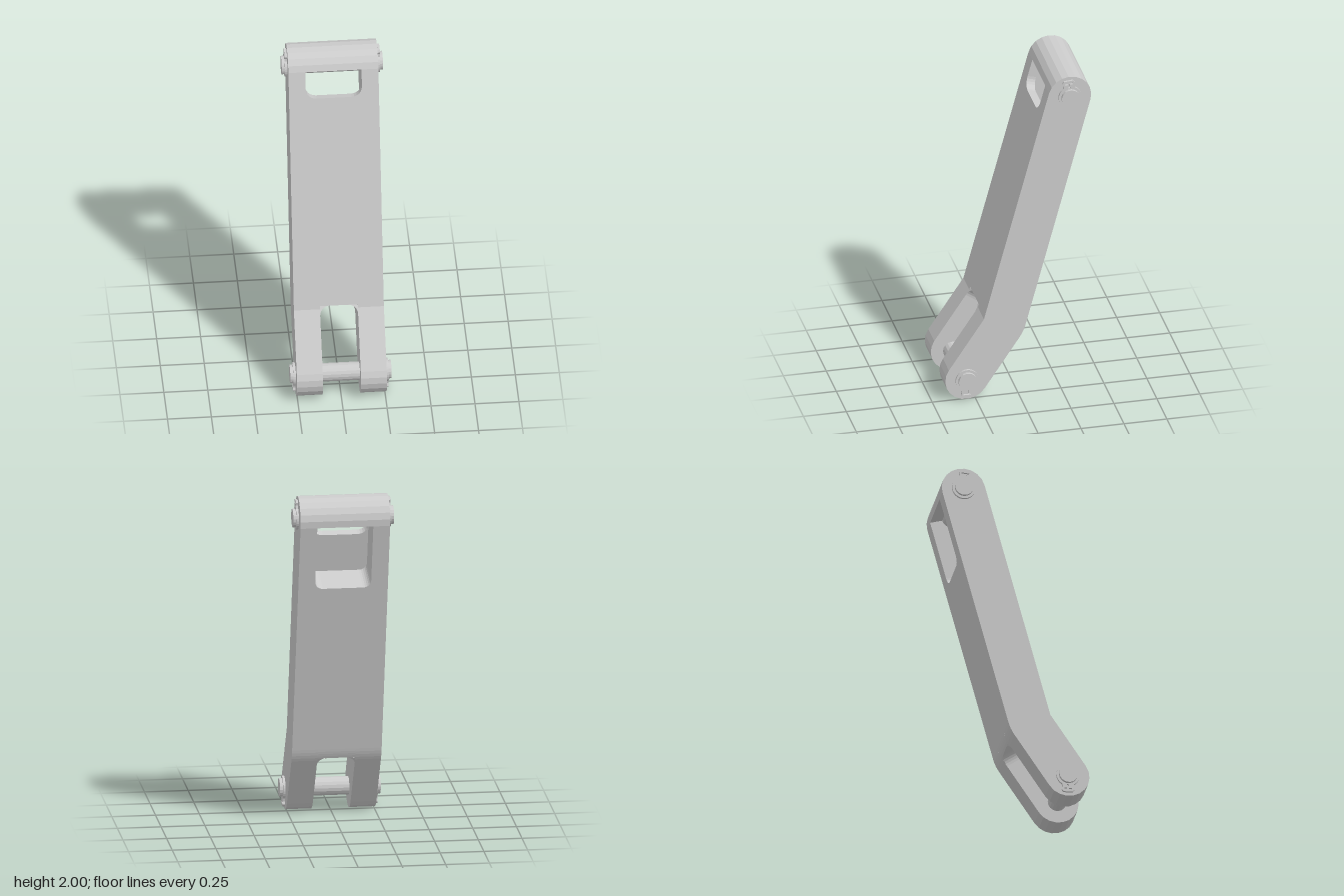
import * as THREE from 'three';

const mat = new THREE.MeshStandardMaterial({ color: 0xcccccc, flatShading: true });
const R = 0.125;                 // radius of both rounded ends, half the link thickness
const W = 0.256;                 // half width of the link
const WIN = 0.16, SLOT = 0.108;  // half widths of the upper window and lower slot
const TOP = { z: -0.3, y: 1.875, a: 0.263 };   // upper pin and lean of the long section
const LOW = { z: 0.3, y: 0.125, a: 0.588 };    // lower pin and lean of the short section

// Point in the side plane (z, y): u along a section, n towards its front
const at = (f, u, n) => new THREE.Vector2(
  f.z - u * Math.sin(f.a) + n * Math.cos(f.a),
  f.y + u * Math.cos(f.a) + n * Math.sin(f.a));

const BEND = at(TOP, -1.458, R);

function arc(cx, cy, r, a0, a1, n) {
  return Array.from({ length: n + 1 }, (_, i) => {
    const a = a0 + (a1 - a0) * i / n;
    return new THREE.Vector2(cx + r * Math.cos(a), cy + r * Math.sin(a));
  });
}

function add(parent, name, geometry) {
  const mesh = new THREE.Mesh(geometry, mat);
  mesh.name = name;
  parent.add(mesh);
  return mesh;
}

// Side profile extruded across the width from x0 to x1
function slab(parent, name, points, x0, x1) {
  const g = new THREE.ExtrudeGeometry(new THREE.Shape(points), { depth: x1 - x0, bevelEnabled: false });
  g.rotateY(-Math.PI / 2);
  g.translate(x1, 0, 0);
  add(parent, name, g);
}

// Pair of corner fillets at x = +-w; dir is +1 above a floor, -1 below a ceiling
function fillets(parent, name, f, w, u, dir, r, n0, n1) {
  const frame = new THREE.Group();
  frame.name = name;
  frame.position.set(0, f.y, f.z);
  frame.rotation.x = -f.a;
  for (const s of [-1, 1]) {
    const curve = arc(r, r, r, Math.PI, Math.PI * 1.5, 6);
    const pts = [new THREE.Vector2(0, 0), ...curve]
      .map(p => new THREE.Vector2(s * (w - p.x), u + dir * p.y));
    const g = new THREE.ExtrudeGeometry(new THREE.Shape(pts), { depth: n1 - n0, bevelEnabled: false });
    g.translate(0, 0, n0);
    add(frame, name + 'Corner', g);
  }
  parent.add(frame);
}

function makeLink() {
  const link = new THREE.Group();
  link.name = 'link';
  const PI = Math.PI;
  const eye = arc(TOP.z, TOP.y, R, TOP.a, TOP.a + PI, 10);
  const foot = arc(LOW.z, LOW.y, R, LOW.a + PI, LOW.a + 2 * PI, 10);
  const heel = end => arc(BEND.x, BEND.y, 2 * R, TOP.a + PI, end, 4);

  // Front edge of the window, then the deeper pocket open to the back
  const pocket = [at(TOP, -0.165, R), at(TOP, -0.165, 0.075), at(TOP, -0.4, 0.075), at(TOP, -0.4, -R)];
  const full = [BEND, ...eye, ...heel(LOW.a + PI), ...foot];
  const hollow = [BEND, ...pocket, ...heel(LOW.a + PI), ...foot];
  const centre = [at(TOP, -1.439, R), ...pocket, ...heel(LOW.a + PI - 0.072)];

  // Solid cheeks, fork inner layers, centre web and the half-round top bridge
  slab(link, 'leftCheek', full, WIN, W);
  slab(link, 'rightCheek', full, -W, -WIN);
  slab(link, 'leftForkLayer', hollow, SLOT, WIN);
  slab(link, 'rightForkLayer', hollow, -WIN, -SLOT);
  slab(link, 'centreWeb', centre, -SLOT, SLOT);
  slab(link, 'topBridge', eye, -WIN, WIN);

  // Rounded corners of the openings
  fillets(link, 'windowFillets', TOP, WIN, -0.165, 1, 0.06, 0.075, R);
  fillets(link, 'pocketFillets', TOP, WIN, -0.4, 1, 0.045, -R, 0.075);
  fillets(link, 'slotFillets', LOW, SLOT, 0.385, -1, 0.055, -R, R);
  return link;
}

// Retaining ring with two lugs, lying in the xy plane with the lugs upwards
function clipGeometry() {
  const half = Math.asin(0.034 / 0.067);
  const ring = arc(0, 0, 0.067, Math.PI / 2 + half, Math.PI * 2.5 - half, 22);
  const lugs = [[0.03, 0.075], [0.036, 0.092], [0.026, 0.105],
    [-0.026, 0.105], [-0.036, 0.092], [-0.03, 0.075]];
  const shape = new THREE.Shape([...ring, ...lugs.map(p => new THREE.Vector2(...p))]);
  shape.holes.push(new THREE.Path(arc(0, 0, 0.05, Math.PI * 2, 0, 20).slice(0, -1)));
  // Gap between the lugs, widened by the plier holes
  const gap = [[-0.022, 0.082], [-0.022, 0.092], [0.022, 0.092], [0.022, 0.082],
    [0.006, 0.082], [0.006, 0.06], [-0.006, 0.06], [-0.006, 0.082]];
  shape.holes.push(new THREE.Path(gap.map(p => new THREE.Vector2(...p))));
  const g = new THREE.ExtrudeGeometry(shape, { depth: 0.013, bevelEnabled: false });
  g.rotateY(Math.PI / 2);
  return g;
}

// Pin with a retaining ring at each end; lugs point up or down
function makePin(name, f, turn) {
  const pin = new THREE.Group();
  pin.name = name;
  pin.position.set(0, f.y, f.z);
  pin.rotation.x = turn;
  const shaft = new THREE.CylinderGeometry(0.053, 0.053, 0.576, 18);
  shaft.rotateZ(Math.PI / 2);
  add(pin, 'shaft', shaft);
  const clip = clipGeometry();
  add(pin, 'leftClip', clip).position.x = W + 0.002;
  add(pin, 'rightClip', clip).position.x = -W - 0.015;
  return pin;
}

export function createModel() {
  const model = new THREE.Group();
  model.name = 'pinnedLink';
  model.add(makeLink());
  model.add(makePin('upperPin', TOP, 0.1));
  model.add(makePin('lowerPin', LOW, Math.PI));
  return model;
}
